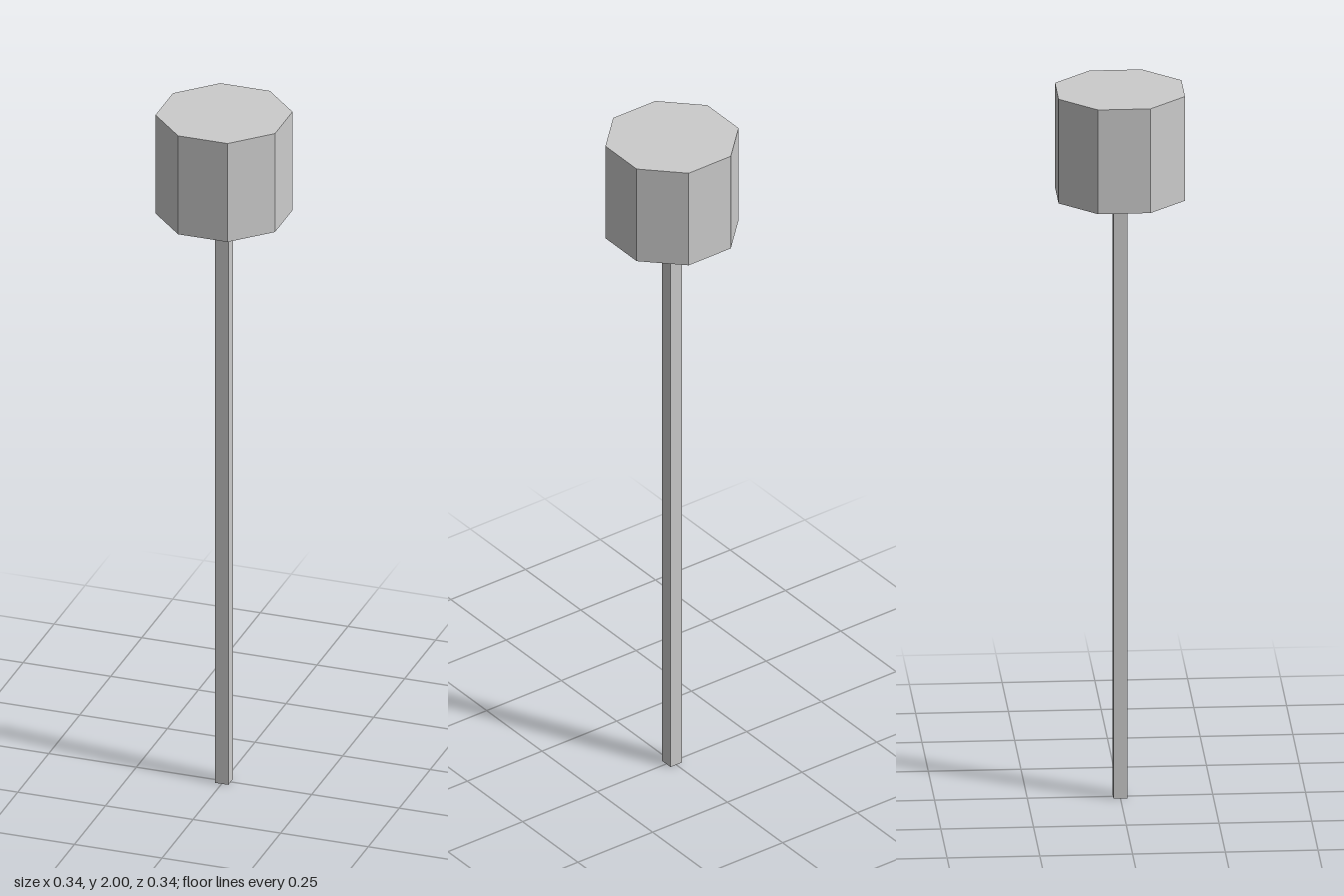
import * as THREE from 'three';

const HEIGHT = 2;
const HEAD_BOTTOM = 1.705;
const HEAD_APOTHEM = 0.1705;
const SHAFT_WIDTH = 0.038;

export function createModel() {
  const model = new THREE.Group();
  const material = new THREE.MeshStandardMaterial({ color: 0xcccccc, flatShading: true });

  const addPart = (name, geometry, bottom, height) => {
    const mesh = new THREE.Mesh(geometry, material);
    mesh.name = name;
    mesh.position.y = bottom + height / 2;
    model.add(mesh);
  };

  // Slim square shaft, from the ground to the underside of the head
  addPart('shaft', new THREE.BoxGeometry(SHAFT_WIDTH, HEAD_BOTTOM, SHAFT_WIDTH), 0, HEAD_BOTTOM);

  // Octagonal head, turned so that a flat side faces the front
  const headHeight = HEIGHT - HEAD_BOTTOM;
  const radius = HEAD_APOTHEM / Math.cos(Math.PI / 8);
  const head = new THREE.CylinderGeometry(radius, radius, headHeight, 8);
  head.rotateY(Math.PI / 8);
  addPart('head', head, HEAD_BOTTOM, headHeight);

  return model;
}
